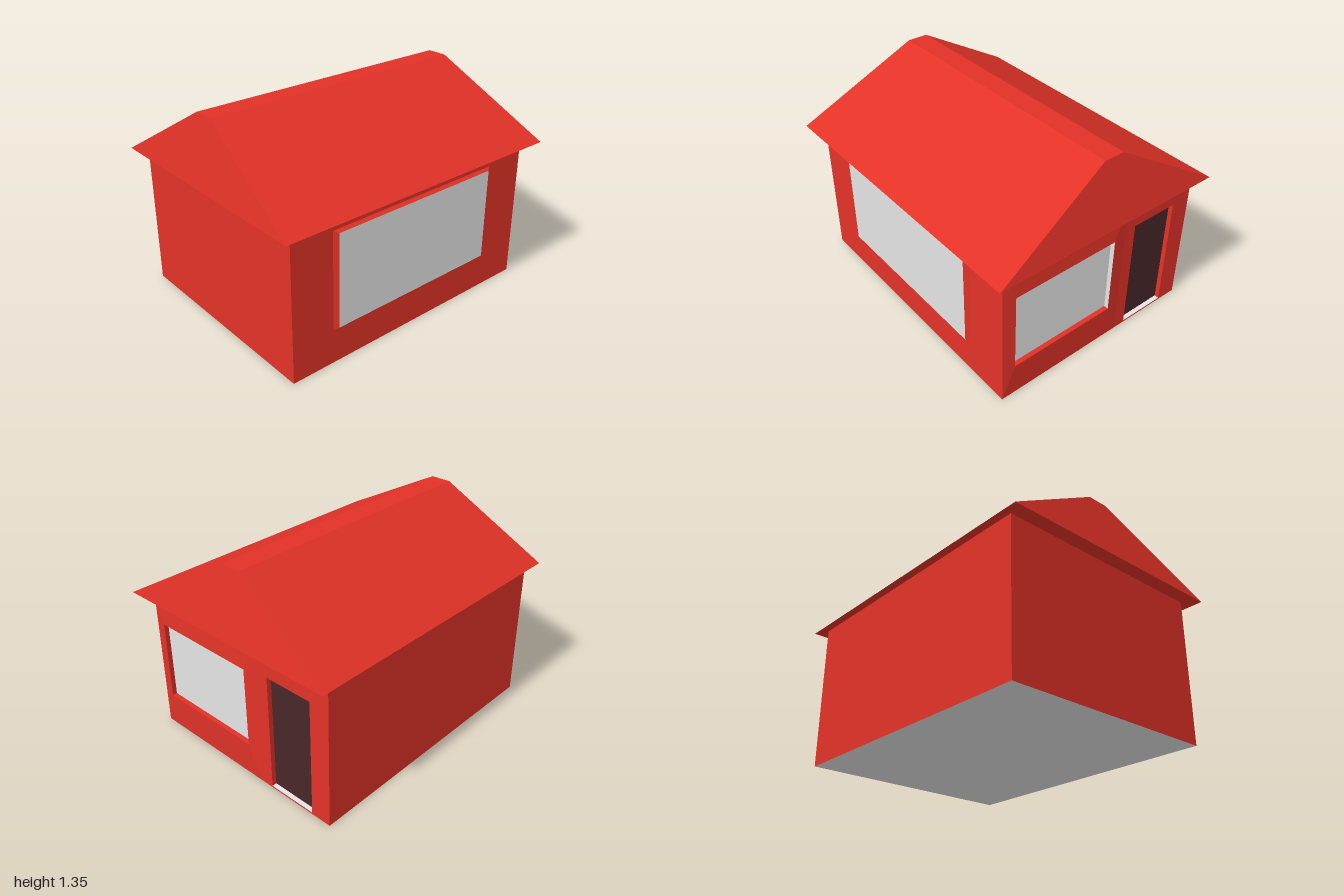
import * as THREE from 'three';

const mat = (name, color) => {
  const m = new THREE.MeshStandardMaterial({ color });
  m.name = name;
  return m;
};

// Flat-faced mesh from quads, each given as four corners counter-clockwise from outside
function quadMesh(name, material, quads) {
  const pos = [];
  for (const [a, b, c, d] of quads) pos.push(...a, ...b, ...c, ...a, ...c, ...d);
  const g = new THREE.BufferGeometry();
  g.setAttribute('position', new THREE.Float32BufferAttribute(pos, 3));
  g.computeVertexNormals();
  const mesh = new THREE.Mesh(g, material);
  mesh.name = name;
  return mesh;
}

// Rectangles facing +x, +z and +y; corners run bottom left, bottom right, top right, top left
const sideRect = (x, zLeft, zRight, y0, y1) =>
  [[x, y0, zLeft], [x, y0, zRight], [x, y1, zRight], [x, y1, zLeft]];
const frontRect = (z, x0, x1, y0, y1) =>
  [[x0, y0, z], [x1, y0, z], [x1, y1, z], [x0, y1, z]];
const topRect = (y, x, zFront, zBack) =>
  [[-x, y, zFront], [x, y, zFront], [x, y, zBack], [-x, y, zBack]];

// Four quads joining two rectangles: bottom, right, top, left
const ring = (outer, inner) => [0, 1, 2, 3].map((i) => {
  const j = (i + 1) % 4;
  return [outer[i], outer[j], inner[j], inner[i]];
});
const flip = (q) => [...q].reverse();

export function createModel() {
  const red = mat('red paint', 0xe23227);
  const pale = mat('pale grey', 0xe4e4e4);
  const dark = mat('dark door brown', 0x482628);

  const house = new THREE.Group();
  house.name = 'house';

  const W = 0.91, H = 0.94, zF = 0.7, zB = -0.74, zMid = -0.2;

  // Plain walls and floor
  house.add(quadMesh('frontWall', red, [frontRect(zF, -W, W, 0, H)]));
  house.add(quadMesh('backWall', red, [flip(frontRect(zB, -W, W, 0, H))]));
  house.add(quadMesh('rightWall', red, [flip(sideRect(-W, zF, zB, 0, H))]));
  house.add(quadMesh('floor', pale, [flip(topRect(0, W, zF, zB))]));

  // Entrance wall: swells slightly towards the window rim, flat around the door
  const windowRim = sideRect(0.923, 0.62, -0.105, 0.23, 0.75);
  const windowBack = sideRect(0.893, 0.62, -0.105, 0.23, 0.75);
  const doorRim = sideRect(W, -0.28, -0.605, 0.01, 0.77);
  const doorBack = sideRect(W - 0.03, -0.28, -0.605, 0.01, 0.77);
  house.add(quadMesh('entranceWall', red, [
    ...ring(sideRect(W, zF, zMid, 0, H), windowRim),
    ...ring(sideRect(W, zMid, zB, 0, H), doorRim),
  ]));

  // Recess sides of the window and the door
  const wr = ring(windowRim, windowBack);
  const dr = ring(doorRim, doorBack);
  house.add(quadMesh('paintedReveals', red, [wr[0], wr[3], dr[1], dr[3]]));
  house.add(quadMesh('paleReveals', pale, [wr[1], wr[2], dr[0], dr[2]]));
  house.add(quadMesh('sideWindow', pale, [windowBack]));
  house.add(quadMesh('door', dark, [doorBack]));

  // Large front window standing proud on a bevelled surround
  const pane = frontRect(0.72, -0.6, 0.595, 0.238, 0.838);
  house.add(quadMesh('frontWindowSurround', red,
    ring(frontRect(zF, -0.627, 0.625, 0.223, 0.853), pane)));
  house.add(quadMesh('frontWindow', pale, [pane]));

  // Roof with overhanging eaves, leaning gables and a narrow flat ridge
  const eaves = topRect(H, 1, 0.79, -0.79);
  const ridge = topRect(1.35, W, 0.025, -0.11);
  house.add(quadMesh('roof', red, [...ring(eaves, ridge), ridge, flip(eaves)]));

  return house;
}
